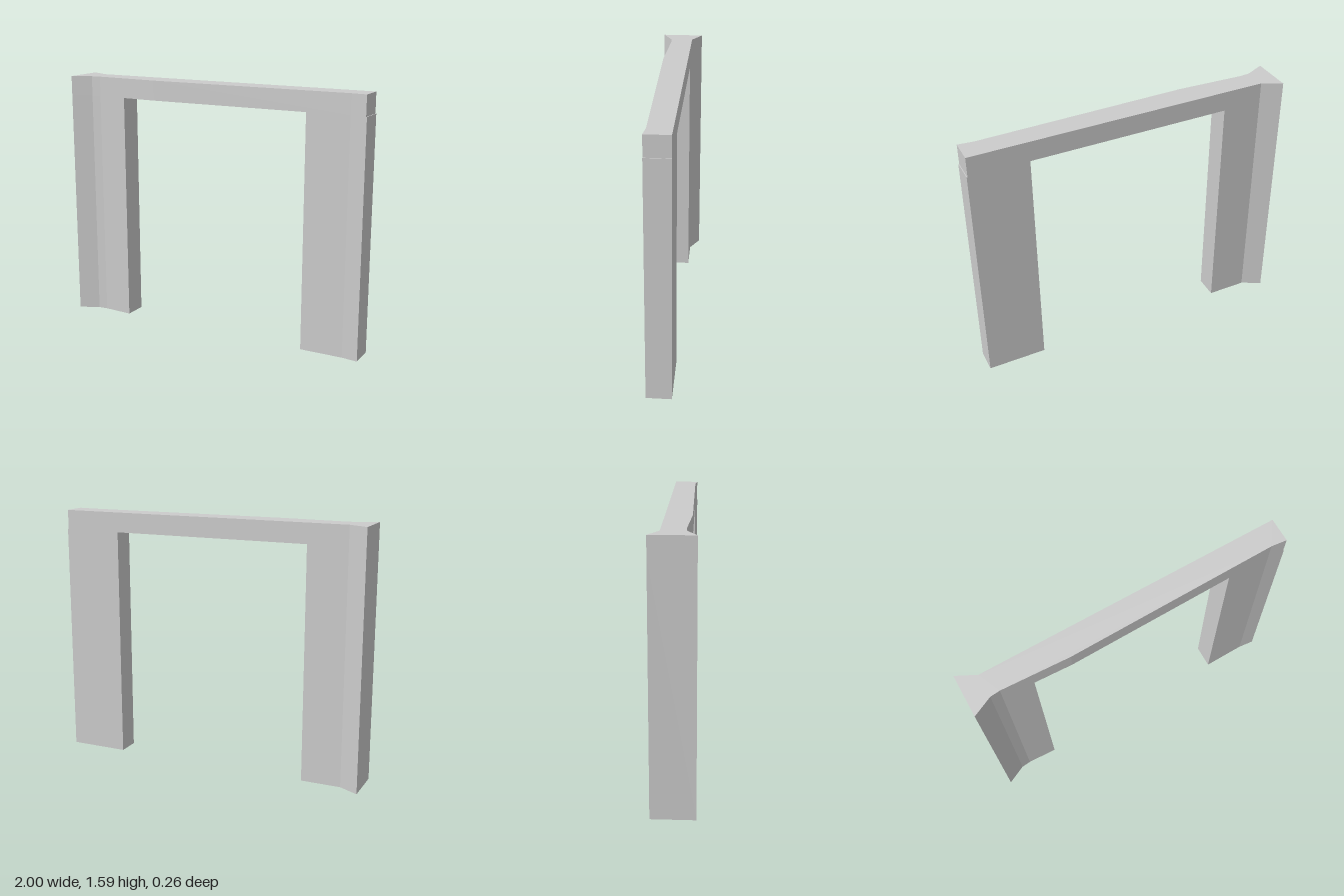
import * as THREE from 'three';

const TOP = 1.59, SOFFIT = 1.465, OPENING = 0.63;

// Plan outlines as [x, z], running left to right across the frame
const FRONT = [[-1, 0.13], [-0.88, 0.072], [-0.82, 0.066], [-0.4, 0.082], [0.9, 0.05], [1, 0.06]];
const BACK = [[-1, -0.13], [-0.88, -0.07], [1, -0.09]];

// z of an outline at a given x
function zAt(line, x) {
  for (let i = 1; i < line.length; i++) {
    const [x0, z0] = line[i - 1], [x1, z1] = line[i];
    if (x <= x1) return z0 + (z1 - z0) * (x - x0) / (x1 - x0);
  }
  return line[line.length - 1][1];
}

// Part of an outline between two x positions
function clip(line, x0, x1) {
  const inner = line.filter(([x]) => x > x0 && x < x1);
  return [[x0, zAt(line, x0)], ...inner, [x1, zAt(line, x1)]];
}

export function createModel() {
  const group = new THREE.Group();
  group.name = 'doorFrame';
  const material = new THREE.MeshStandardMaterial({ color: 0xcccccc, flatShading: true });

  // Slice of the plan between x0 and x1, raised from y0 to y1
  function addPart(name, x0, x1, y0, y1) {
    const outline = [...clip(BACK, x0, x1), ...clip(FRONT, x0, x1).reverse()];
    const shape = new THREE.Shape(outline.map(([x, z]) => new THREE.Vector2(x, z)));
    const geometry = new THREE.ExtrudeGeometry(shape, { depth: y1 - y0, bevelEnabled: false });
    geometry.rotateX(Math.PI / 2).translate(0, y1, 0);
    const mesh = new THREE.Mesh(geometry, material);
    mesh.name = name;
    group.add(mesh);
  }

  // Flared post, plain post and the beam across both
  addPart('flaredPost', -1, -OPENING, 0, SOFFIT);
  addPart('plainPost', OPENING, 1, 0, SOFFIT);
  addPart('lintel', -1, 0.995, SOFFIT, TOP);

  return group;
}
